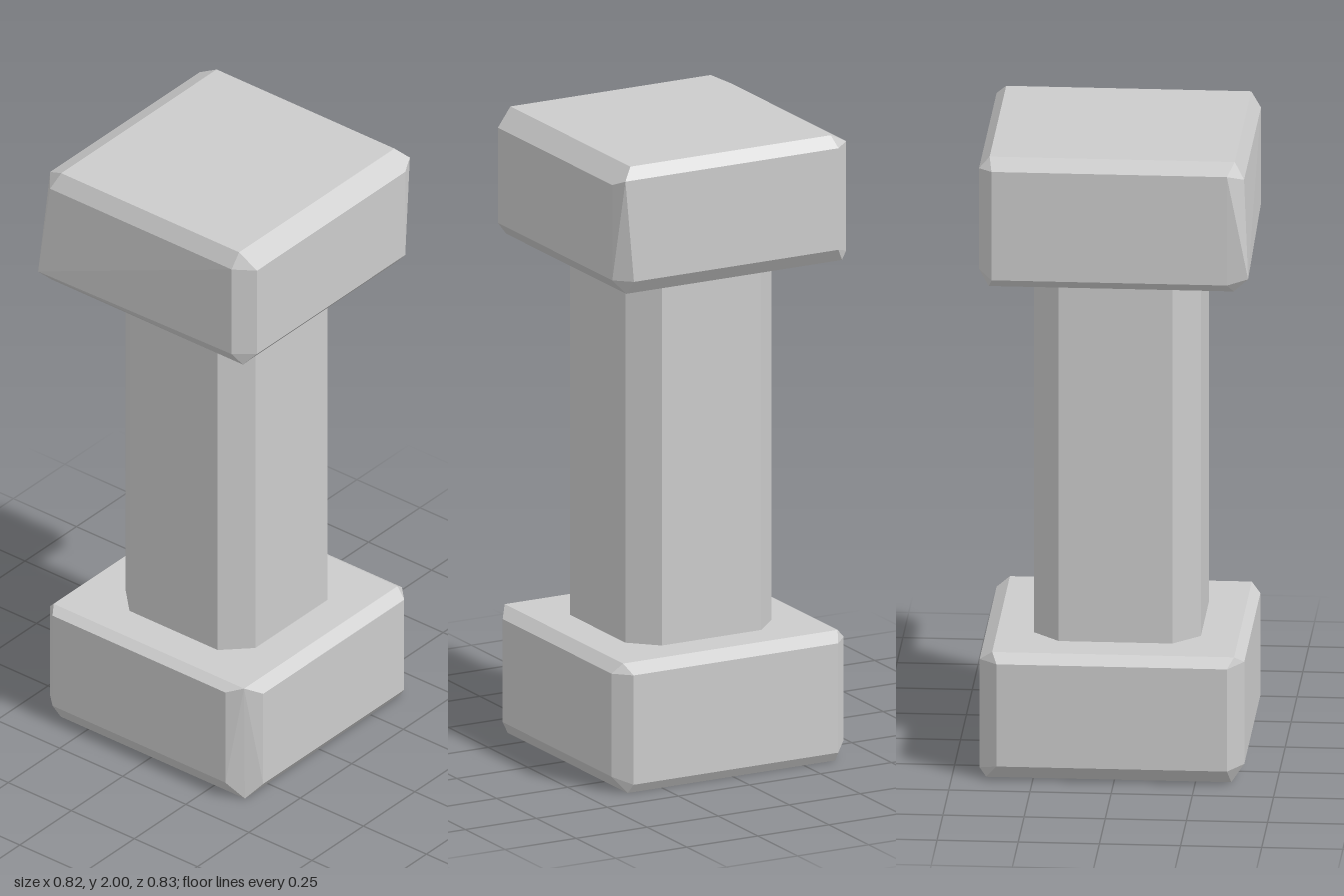
import * as THREE from 'three';
import { ConvexGeometry } from 'three/addons/geometries/ConvexGeometry.js';

const material = new THREE.MeshStandardMaterial({ color: 0xcccccc, flatShading: true });

// Each face is [offset, u0, u1, v0, v1]; the gaps between faces become the bevels.
// u, v are y, z for left/right, x, z for top/bottom and x, y for front/back.
function bevelledBlock(name, faces, extra = []) {
  const place = {
    x: (d, u, v) => new THREE.Vector3(d, u, v),
    y: (d, u, v) => new THREE.Vector3(u, d, v),
    z: (d, u, v) => new THREE.Vector3(u, v, d),
  };
  const points = extra.map((p) => new THREE.Vector3(...p));
  for (const axis of ['x', 'y', 'z']) {
    for (const [d, u0, u1, v0, v1] of faces[axis]) {
      for (const u of [u0, u1]) for (const v of [v0, v1]) points.push(place[axis](d, u, v));
    }
  }
  const mesh = new THREE.Mesh(new ConvexGeometry(points), material);
  mesh.name = name;
  return mesh;
}

// Eight-sided shaft with narrow corner faces
function columnShaft() {
  const w = 0.257, h = 0.175, bottom = 0.4, top = 1.61;
  const outline = [[w, -h], [w, h], [h, w], [-h, w], [-w, h], [-w, -h], [-h, -w], [h, -w]];
  const shape = new THREE.Shape(outline.map(([x, y]) => new THREE.Vector2(x, y)));
  const geometry = new THREE.ExtrudeGeometry(shape, { depth: top - bottom, bevelEnabled: false });
  geometry.rotateX(-Math.PI / 2).translate(0, bottom, -0.004);
  const mesh = new THREE.Mesh(geometry, material);
  mesh.name = 'shaft';
  return mesh;
}

export function createModel() {
  const group = new THREE.Group();
  group.name = 'column';

  // Base block with uneven chipped bevels
  group.add(bevelledBlock('base', {
    x: [[-0.41, 0.05, 0.38, -0.36, 0.35], [0.41, 0.05, 0.38, -0.365, 0.32]],
    y: [[0, -0.36, 0.37, -0.395, 0.36], [0.41, -0.38, 0.375, -0.375, 0.37]],
    z: [[-0.415, -0.36, 0.36, 0.03, 0.38], [0.4, -0.36, 0.325, 0.06, 0.39]],
  }));

  group.add(columnShaft());

  // Capital, with two corners left unevenly cut
  group.add(bevelledBlock('capital', {
    x: [[-0.41, 1.62, 1.97, -0.375, 0.35], [0.41, 1.64, 1.945, -0.37, 0.35]],
    y: [[1.595, -0.39, 0.37, -0.385, 0.37], [2, -0.35, 0.355, -0.385, 0.37]],
    z: [[-0.417, -0.36, 0.36, 1.64, 1.965], [0.4, -0.37, 0.35, 1.64, 1.95]],
  }, [[0.39, 1.965, -0.417], [-0.405, 1.64, 0.415]]));

  return group;
}
